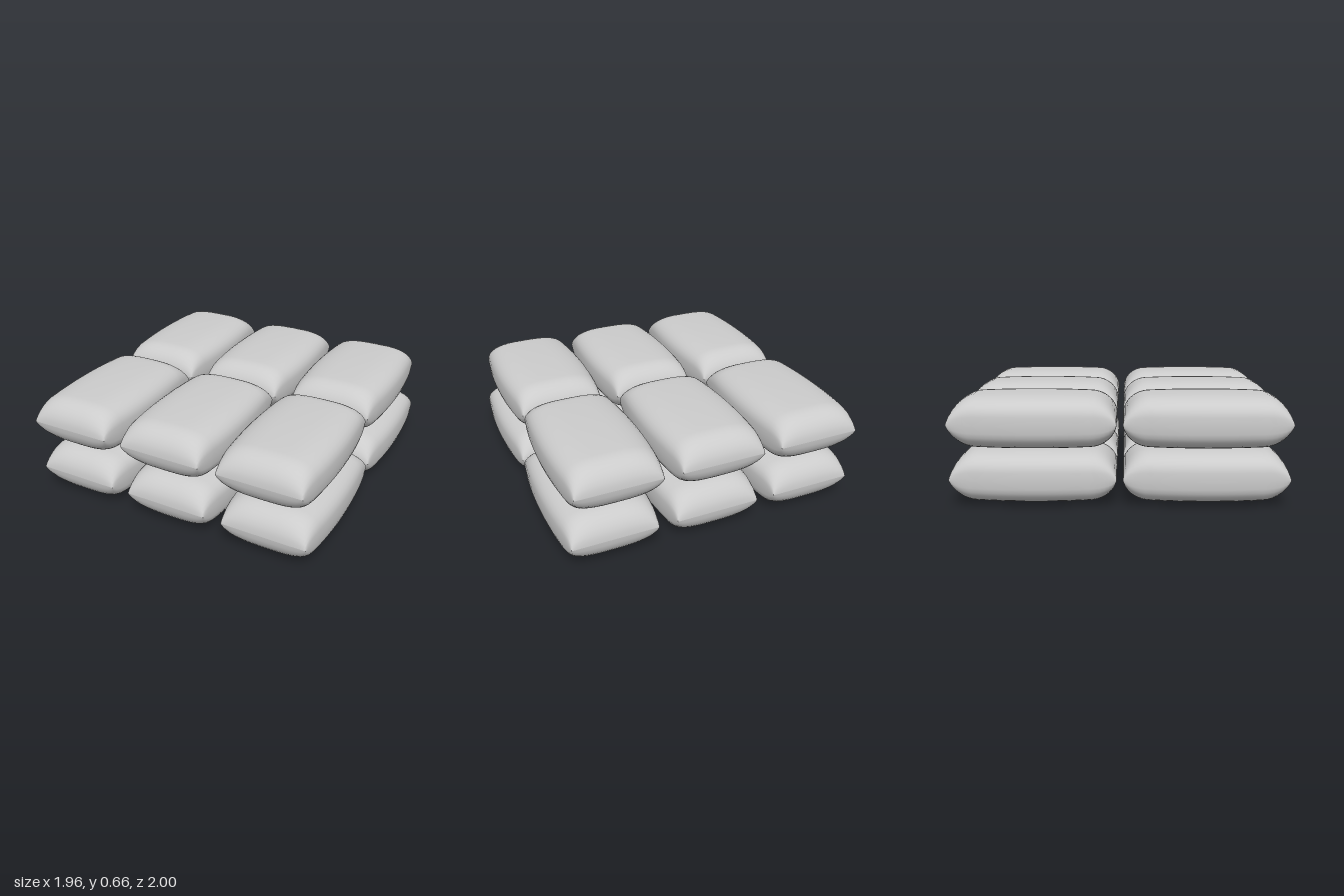
import * as THREE from 'three';

const HALF_DEPTH = 0.49, HALF_HEIGHT = 0.163, HALF_WIDTH = 0.308;
const END_ROUND = 0.16; // length of the rounded nose at each end
const SIDES = 40;

// Stations along one bag: [z, half height], back to front
function bagStations() {
  const half = [];
  for (let i = 0; i <= 8; i++) {
    const a = (i / 8) * Math.PI / 2;
    half.push([HALF_DEPTH - END_ROUND * (1 - Math.cos(a)), 0.157 * Math.sin(a)]);
  }
  // the nose angle runs from the flat body out to the tip
  const nose = half.map((_, i) => {
    const a = (i / 8) * Math.PI / 2;
    return [-HALF_DEPTH + END_ROUND * (1 - Math.cos(a)), 0.157 * Math.sin(a)];
  });
  const body = [];
  const inner = HALF_DEPTH - END_ROUND;
  for (let i = 1; i < 10; i++) {
    const t = -1 + i / 5;
    body.push([t * inner, 0.157 + (HALF_HEIGHT - 0.157) * (1 - t * t)]);
  }
  return [...nose, ...body, ...half.reverse()];
}

// Loft of squarish ovals that pinch to a flat seam at both ends
function bagGeometry() {
  const positions = [], index = [];
  const stations = bagStations();
  const squash = (v) => Math.sign(v) * Math.pow(Math.abs(v), 2 / 3.1);
  stations.forEach(([z, h], i) => {
    const w = HALF_WIDTH - 0.038 * (z / HALF_DEPTH) ** 2;
    for (let j = 0; j < SIDES; j++) {
      const a = (j / SIDES) * Math.PI * 2;
      positions.push(w * squash(Math.cos(a)), h * squash(Math.sin(a)), z);
      if (i === stations.length - 1) continue;
      const k = (j + 1) % SIDES;
      const p = i * SIDES + j, q = i * SIDES + k;
      index.push(p, q, q + SIDES, p, q + SIDES, p + SIDES);
    }
  });
  const geometry = new THREE.BufferGeometry();
  geometry.setAttribute('position', new THREE.Float32BufferAttribute(positions, 3));
  geometry.setIndex(index);
  geometry.computeVertexNormals();
  return geometry;
}

export function createModel() {
  const model = new THREE.Group();
  model.name = 'sandbagStack';
  const material = new THREE.MeshStandardMaterial({ color: 0xcccccc });
  const geometry = bagGeometry();

  // Two layers of three by two bags, the upper one shifted sideways
  const layers = [
    { name: 'lowerLayer', y: 0.165, shift: 0.015 },
    { name: 'upperLayer', y: 0.495, shift: -0.015 },
  ];
  for (const { name, y, shift } of layers) {
    const layer = new THREE.Group();
    layer.name = name;
    for (const z of [-0.508, 0.508]) {
      for (const column of [-1, 0, 1]) {
        const bag = new THREE.Mesh(geometry, material);
        bag.name = 'sandbag';
        bag.position.set(column * 0.657 + shift, y, z);
        layer.add(bag);
      }
    }
    model.add(layer);
  }
  return model;
}
